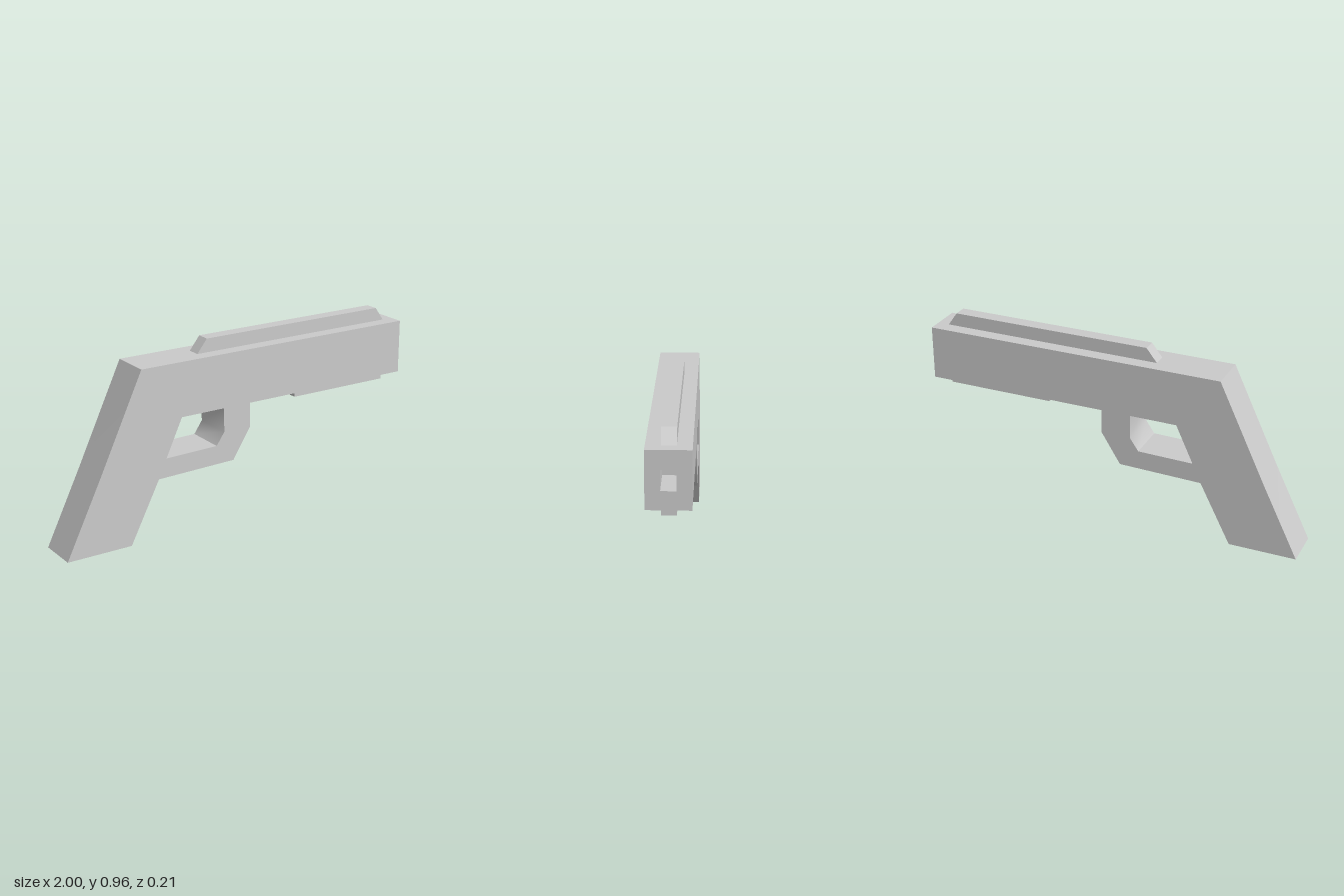
import * as THREE from 'three';
import { toCreasedNormals } from 'three/addons/utils/BufferGeometryUtils.js';

const material = new THREE.MeshStandardMaterial({ color: 0xcccccc });
const WIDTH = 0.21;
const RAIL_WIDTH = 0.07;
const TOP = 0.89, UNDERSIDE = 0.61;
const MUZZLE_START = 0.8, MUZZLE_END = 1;

const points = (list) => list.map(([x, y]) => new THREE.Vector2(x, y));

// Extrudes an outline, with optional holes, centred on the extrusion axis
function slab(outline, depth, holes = []) {
  const shape = new THREE.Shape(points(outline));
  shape.holes = holes.map((hole) => new THREE.Path(points(hole)));
  const geometry = new THREE.ExtrudeGeometry(shape, { depth, bevelEnabled: false });
  return geometry.translate(0, 0, -depth / 2);
}

const rect = (x0, y0, x1, y1) => [[x0, y0], [x1, y0], [x1, y1], [x0, y1]];

export function createModel() {
  const group = new THREE.Group();
  const add = (name, geometry) => {
    const mesh = new THREE.Mesh(toCreasedNormals(geometry, 0.7), material);
    mesh.name = name;
    group.add(mesh);
  };

  // Grip, frame and trigger guard in one profile
  const frame = [
    [-1, 0], [-0.65, 0], [-0.49, 0.315], [-0.055, 0.325], [0.045, 0.485],
    [0.045, UNDERSIDE], [MUZZLE_START, UNDERSIDE], [MUZZLE_START, TOP],
    [-0.575, TOP], [-0.815, 0.38],
  ];
  const guardOpening = [
    [-0.355, UNDERSIDE], [-0.445, 0.415], [-0.155, 0.42], [-0.11, 0.485], [-0.11, UNDERSIDE],
  ];
  add('frame', slab(frame, WIDTH, [guardOpening]));

  // Muzzle end with a square bore, extruded along x
  const muzzle = slab(
    rect(-WIDTH / 2, UNDERSIDE, WIDTH / 2, TOP),
    MUZZLE_END - MUZZLE_START,
    [rect(-0.036, 0.7, 0.036, 0.797)],
  );
  muzzle.rotateY(Math.PI / 2).translate((MUZZLE_START + MUZZLE_END) / 2, 0, 0);
  add('muzzle', muzzle);

  // Sight rail with sloped ends
  add('topRail', slab([[-0.22, TOP], [0.94, TOP], [0.89, 0.96], [-0.165, 0.96]], RAIL_WIDTH));

  // Accessory rail below the barrel
  add('lowerRail', slab(rect(0.37, 0.562, 0.94, UNDERSIDE), RAIL_WIDTH));

  return group;
}
